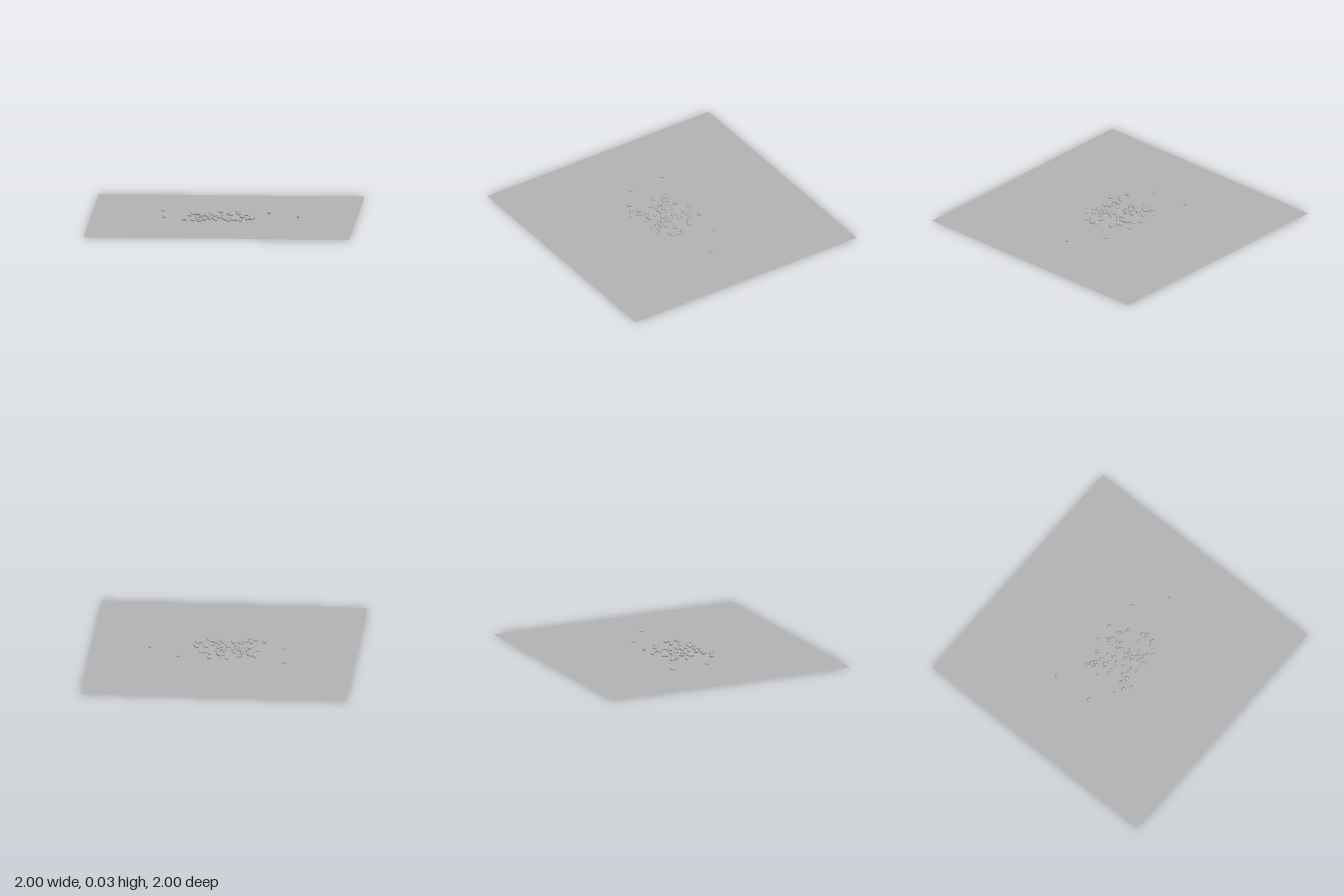
import * as THREE from 'three';
import { mergeVertices } from 'three/addons/utils/BufferGeometryUtils.js';

// Small seeded generator
function seeded(seed) {
  return () => {
    seed = (seed * 16807) % 2147483647;
    return seed / 2147483647;
  };
}

// Rounded, slightly lumpy stone of about unit radius
function stoneGeometry(rand) {
  let geo = new THREE.IcosahedronGeometry(1, 1);
  geo.deleteAttribute('normal');
  geo.deleteAttribute('uv');
  geo = mergeVertices(geo, 1e-3);
  const pos = geo.attributes.position;
  const v = new THREE.Vector3();
  for (let i = 0; i < pos.count; i++) {
    v.fromBufferAttribute(pos, i).multiplyScalar(0.86 + rand() * 0.22);
    pos.setXYZ(i, v.x, v.y, v.z);
  }
  geo.computeVertexNormals();
  return geo;
}

// Where the pebbles lie: x, z pairs
const SPOTS = [
  // strays
  -0.47, -0.23, -0.45, 0.07, 0.33, -0.16, 0.56, 0.02, -0.29, 0.19, -0.17, 0.255,
  0.095, -0.185, -0.035, -0.18, -0.22, 0.22, 0.135, 0.215, -0.26, -0.005,
  // back half of the scatter
  -0.24, -0.12, -0.24, -0.1, -0.21, -0.1, -0.19, -0.08, -0.23, -0.07, -0.2, -0.06,
  -0.12, -0.13, -0.13, -0.11, -0.14, -0.06, -0.15, -0.02, -0.12, 0, -0.17, 0,
  -0.08, -0.05, -0.07, 0, 0.01, -0.14, 0.02, -0.11, 0, -0.1, 0.04, -0.1,
  0.1, -0.1, 0.11, -0.08, 0.14, -0.06, 0.17, -0.06, 0.15, -0.05, 0.04, -0.06,
  0, -0.03, 0, -0.01, 0.02, 0, 0.05, -0.03,
  // front half of the scatter
  -0.16, 0.05, -0.2, 0.07, -0.19, 0.05, -0.12, 0.05, -0.09, 0.04, -0.08, 0.1,
  -0.03, 0.07, 0, 0.05, 0.01, 0.08, 0.03, 0.07, 0.05, 0.05, 0.02, 0.1,
  0, 0.12, 0.04, 0.12, 0.06, 0.14, 0.09, 0.11, 0.1, 0.18, 0.08, 0.17,
  0.05, 0.17, 0.02, 0.16, 0.05, 0.22, 0.03, 0.2, -0.05, 0.2, -0.06, 0.16,
  -0.1, 0.16, -0.13, 0.14, -0.14, 0.18, -0.16, 0.2, -0.19, 0.17,
  0.21, 0.05, 0.225, 0.08, 0.21, 0.09, 0.18, 0.15, 0.21, 0.14, 0.14, 0.06,
];

export function createModel() {
  const model = new THREE.Group();
  model.name = 'pebblesOnSlab';
  const rand = seeded(4711);
  const stone = new THREE.MeshStandardMaterial({ color: 0xb4b4b4 });
  stone.name = 'stone grey';
  const floor = new THREE.MeshStandardMaterial({ color: 0xb4b4b5, side: THREE.DoubleSide });
  floor.name = 'floor grey';

  // Flat square floor
  const ground = new THREE.Mesh(new THREE.PlaneGeometry(2, 2).rotateX(-Math.PI / 2), floor);
  ground.name = 'floor';
  model.add(ground);

  // Pebbles resting on the floor
  const shapes = Array.from({ length: 6 }, () => stoneGeometry(rand));
  const pebbles = new THREE.Group();
  pebbles.name = 'pebbles';
  for (let i = 0; i < SPOTS.length; i += 2) {
    const pebble = new THREE.Mesh(shapes[(i / 2) % shapes.length], stone);
    const length = 0.014 + rand() * 0.006;
    const height = length * (0.55 + rand() * 0.15);
    pebble.scale.set(length * (0.7 + rand() * 0.15), height, length);
    pebble.rotation.y = rand() * Math.PI * 2;
    pebble.position.set(SPOTS[i], height * 1.06, SPOTS[i + 1]);
    pebble.name = 'pebble';
    pebbles.add(pebble);
  }
  model.add(pebbles);
  return model;
}
